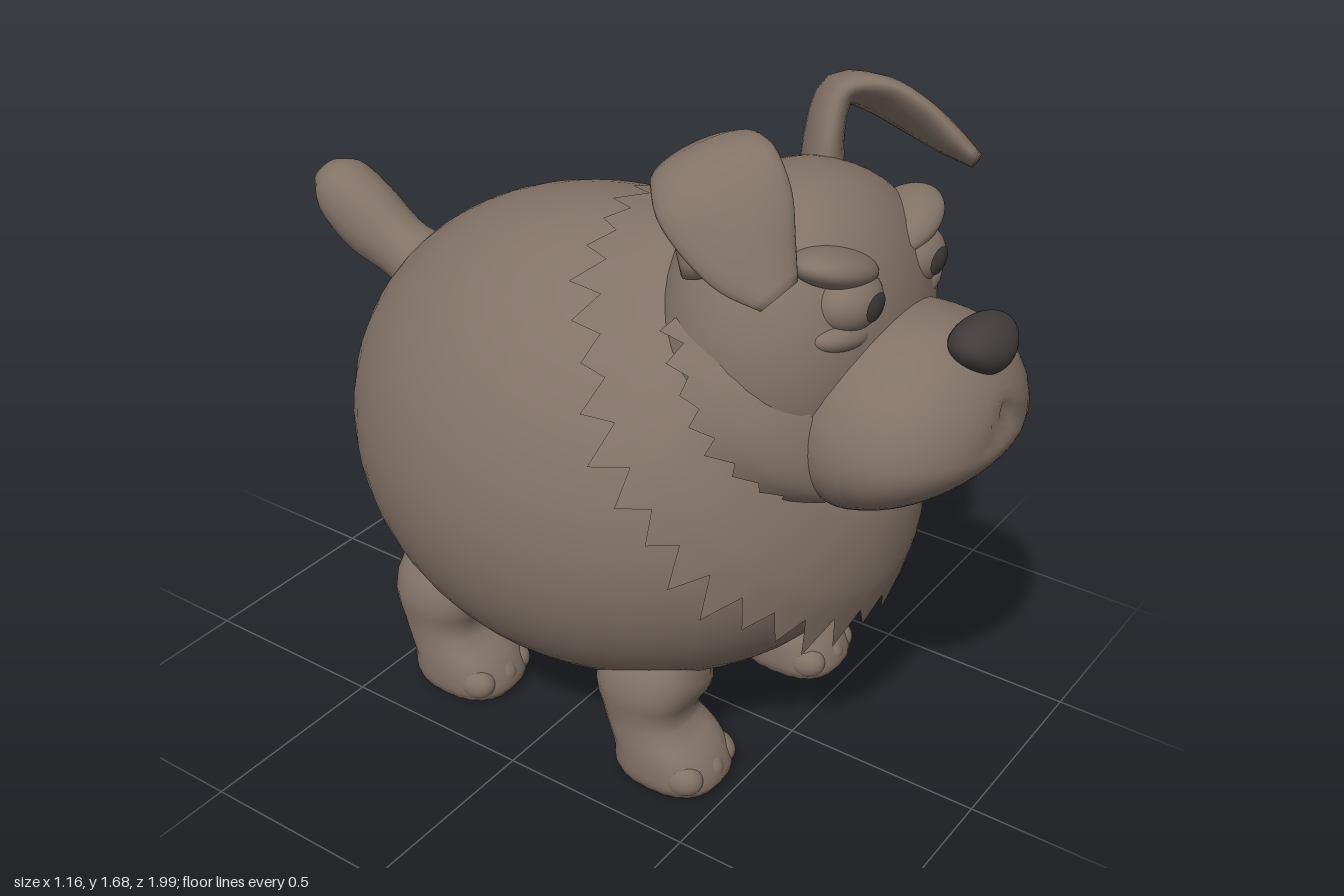
import * as THREE from 'three';

const V = (x, y, z) => new THREE.Vector3(x, y, z);
const soft = (c, e) => Math.sign(c) * Math.abs(c) ** e;

// Smooth loft: each row holds two opposite edge points and the half width across them.
// tooth > 0 cuts the first edge into points, taper narrows the upper half.
function loft(rows, { steps = 16, seg = 24, box = 1, tooth = 0, taper = 0, cap = true } = {}) {
  const A = new THREE.CatmullRomCurve3(rows.map(r => r[0]));
  const B = new THREE.CatmullRomCurve3(rows.map(r => r[1]));
  const W = new THREE.CatmullRomCurve3(rows.map((r, i) => V(r[2], i, 0)));
  const mid = t => A.getPoint(t).add(B.getPoint(t)).multiplyScalar(0.5);
  const at = (t, a) => {
    const v = A.getPoint(t).sub(B.getPoint(t)).multiplyScalar(0.5);
    const dir = mid(Math.min(1, t + 0.01)).sub(mid(Math.max(0, t - 0.01)));
    const n = v.clone().cross(dir).normalize().multiplyScalar(W.getPoint(t).x);
    n.multiplyScalar(1 - taper * Math.max(0, Math.sin(a)));
    return mid(t).addScaledVector(n, soft(Math.cos(a), box)).addScaledVector(v, soft(Math.sin(a), box));
  };
  const pos = [], idx = [];
  for (let i = 0; i <= steps; i++) {
    for (let j = 0; j < seg; j++) {
      let t = i / steps;
      if (tooth) {
        t = i ? THREE.MathUtils.lerp(tooth * 1.4, 1, (i - 1) / (steps - 1))
          : j % 2 ? tooth : tooth * 0.2 * (1 + Math.sin(j * 2.3));
      }
      pos.push(...at(t, j / seg * Math.PI * 2).toArray());
    }
  }
  for (let i = 0; i < steps; i++) {
    for (let j = 0; j < seg; j++) {
      const k = (j + 1) % seg, a = i * seg, b = a + seg;
      idx.push(a + j, a + k, b + k, a + j, b + k, b + j);
    }
  }
  if (cap) {
    const c = pos.length / 3, last = steps * seg;
    pos.push(...mid(0).toArray(), ...mid(1).toArray());
    for (let j = 0; j < seg; j++) {
      const k = (j + 1) % seg;
      idx.push(c, k, j, c + 1, last + j, last + k);
    }
  }
  const g = new THREE.BufferGeometry();
  g.setAttribute('position', new THREE.Float32BufferAttribute(pos, 3));
  g.setIndex(idx);
  g.computeVertexNormals();
  return g;
}

// Rows given as z1, y1, z2, y2, half width and an optional lean towards the middle
const slices = (x, dz, rows) => rows.map(([z1, y1, z2, y2, w, lean = 0]) =>
  [V(x * (1 - lean), y1, z1 + dz), V(x * (1 - lean), y2, z2 + dz), w]);

// Ellipsoid whose unit-sphere points may be reshaped by a rule
function blob(rx, ry, rz, rule) {
  const g = new THREE.SphereGeometry(1, 48, 36), p = g.attributes.position;
  for (let i = 0; i < p.count; i++) {
    const v = V().fromBufferAttribute(p, i);
    if (rule) rule(v);
    p.setXYZ(i, v.x * rx, v.y * ry, v.z * rz);
  }
  g.computeVertexNormals();
  return g;
}

export function createModel() {
  const coat = new THREE.MeshStandardMaterial({ color: 0x827266, side: THREE.DoubleSide });
  coat.name = 'brown coat';
  const dark = new THREE.MeshStandardMaterial({ color: 0x413b3b });
  dark.name = 'dark nose';
  const model = new THREE.Group();
  model.name = 'dog';
  const add = (name, geo, mat = coat, x = 0, y = 0, z = 0, rz = 0) => {
    const m = new THREE.Mesh(geo, mat);
    m.name = name;
    m.position.set(x, y, z);
    m.rotation.z = rz;
    model.add(m);
  };

  // Round body, a little wider below
  add('body', blob(0.58, 0.595, 0.73, v => { v.x *= 1 - 0.09 * v.y; }), coat, 0, 0.725, -0.02);

  // Tail
  add('tail', loft(slices(0, 0, [
    [-0.58, 0.84, -0.53, 1.05, 0.13],
    [-0.73, 0.92, -0.68, 1.08, 0.08],
    [-0.87, 0.97, -0.80, 1.16, 0.088],
    [-0.96, 1.05, -0.90, 1.205, 0.085],
    [-0.998, 1.13, -0.96, 1.195, 0.045],
  ])));

  // Shaggy neck and cheek ruffs
  add('neckRuff', loft(slices(0, 0, [
    [-0.03, 1.34, 0.69, 0.40, 0.555],
    [0.10, 1.365, 0.735, 0.58, 0.475],
    [0.18, 1.385, 0.72, 0.76, 0.38],
    [0.30, 1.41, 0.64, 0.90, 0.28],
  ]), { seg: 68, tooth: 0.2, taper: 0.14, cap: false }));
  add('cheekRuff', loft(slices(0, 0, [
    [0.24, 1.34, 0.66, 0.80, 0.435],
    [0.38, 1.38, 0.725, 0.83, 0.38],
    [0.55, 1.30, 0.75, 0.92, 0.27],
  ]), { seg: 60, tooth: 0.2, cap: false }));

  // Head with a broad face, and muzzle with a frowning mouth crease
  add('skull', blob(0.365, 0.37, 0.29, v => { v.z = soft(v.z, v.z > 0 ? 0.85 : 1); }), coat, 0, 1.15, 0.455);
  add('muzzle', blob(0.30, 0.235, 0.245, v => {
    const ax = Math.abs(v.x);
    v.z = soft(v.z, 0.85);
    if (v.z > 0.4 && ax < 0.45) {
      const d = (v.y - 0.28 + 0.9 * ax) / 0.09;
      v.z -= 0.09 * Math.exp(-d * d) * (1 - ax / 0.45);
    }
    if (v.y < 0) v.y *= 1 - 0.4 * Math.max(0, v.z + 0.2);
    v.x *= 1 - 0.1 * v.y;
  }), coat, 0, 1.025, 0.75);
  add('muzzleBridge', blob(0.16, 0.11, 0.235), coat, 0, 1.15, 0.72);
  add('nose', blob(0.09, 0.064, 0.07, v => { v.x *= 1 + 0.4 * v.y; }), dark, 0, 1.224, 0.91);

  for (const s of [1, -1]) {
    const side = s > 0 ? 'left' : 'right';

    // Eyes set between slanted brows and heavy lower lids
    add(side + 'Eye', blob(0.09, 0.07, 0.075), coat, s * 0.14, 1.315, 0.655);
    const pupil = new THREE.SphereGeometry(1, 20, 8, 0, Math.PI * 2, 0, 0.44);
    pupil.rotateX(Math.PI / 2).scale(0.093, 0.073, 0.079);
    add(side + 'Pupil', pupil, dark, s * 0.14, 1.315, 0.655);
    add(side + 'Brow', blob(0.125, 0.045, 0.085), coat, s * 0.145, 1.382, 0.625, s * 0.32);
    add(side + 'LowerLid', blob(0.115, 0.045, 0.07), coat, s * 0.145, 1.245, 0.645, s * 0.12);

    // Folded ears, the right one hanging lower and wider
    const k = s > 0 ? 0 : 1;
    const ear = [
      [0.10, 1.40, 0.46, 0.28, 1.34, 0.35, 0.06],
      [0.12, 1.53, 0.45, 0.29, 1.46, 0.32, 0.045],
      [0.18, 1.635, 0.45, 0.35, 1.56, 0.32, 0.04],
      [0.23, 1.65, 0.53, 0.41, 1.52, 0.38, 0.036],
      [0.26, 1.61, 0.61, 0.42, 1.485, 0.47, 0.033],
      [0.285, 1.55, 0.67, 0.41, 1.46, 0.58, 0.03],
      [0.31, 1.495, 0.715, 0.385, 1.45, 0.68, 0.018],
    ].map(([ax, ay, az, bx, by, bz, w], i) => {
      const out = s * (1 + 0.08 * k), drop = k * [0, 0, -0.015, -0.015, 0.015, 0.045, 0.065][i];
      return [V(ax * out, ay - drop, az - Math.max(0, drop)),
        V(bx * out, by - drop, bz - Math.max(0, drop)), w];
    });
    add(side + 'Ear', loft(ear, { steps: 24 }));

    // Stubby legs with three toes each
    for (const [name, dz] of [['Front', 0], ['Rear', -0.64]]) {
      add(side + name + 'Leg', loft(slices(s * 0.285, dz, [
        [0.20, 0, 0.46, 0, 0.105],
        [0.19, 0.03, 0.475, 0.03, 0.118],
        [0.19, 0.08, 0.445, 0.10, 0.118],
        [0.16, 0.16, 0.37, 0.17, 0.11],
        [0.13, 0.26, 0.40, 0.26, 0.135, 0.06],
        [0.16, 0.42, 0.34, 0.42, 0.08, 0.35],
      ]), { box: 0.8 }));
      for (const t of [-1, 0, 1]) {
        add(side + name + 'Toe', blob(0.042, 0.045, 0.055), coat,
          s * 0.285 + t * 0.07, 0.05, 0.418 + dz - Math.abs(t) * 0.012);
      }
    }
  }
  return model;
}
